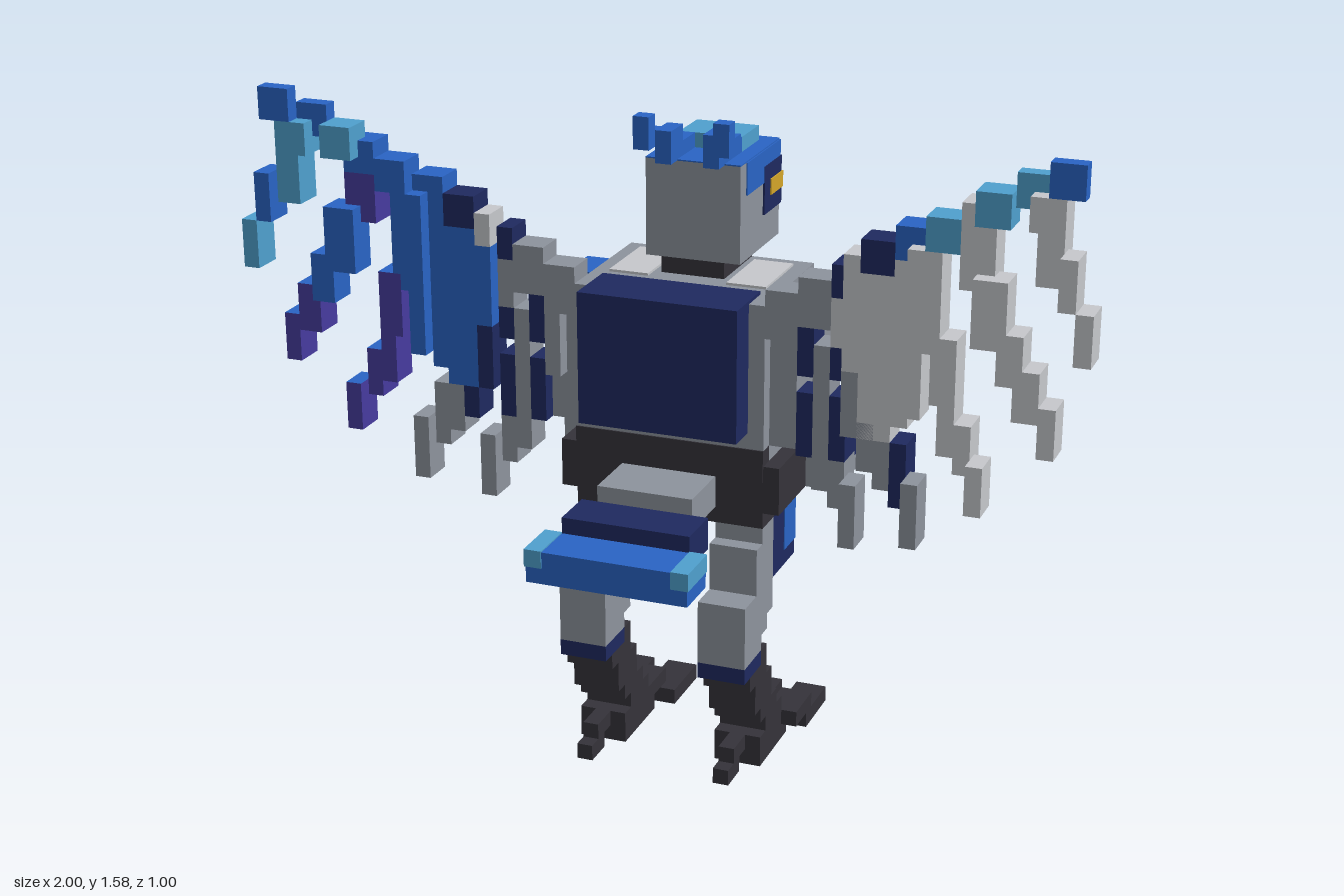
import * as THREE from 'three';

const U = 1 / 26; // one grid cell

const mat = (name, color) => {
  const m = new THREE.MeshStandardMaterial({ color });
  m.name = name;
  return m;
};

export function createModel() {
  const grey = mat('grey', 0x8e949e), pale = mat('paleGrey', 0xc8cace);
  const dark = mat('charcoal', 0x35333a), navy = mat('navy', 0x1f2a60);
  const blue = mat('blue', 0x2a65c6), sky = mat('lightBlue', 0x50a2d0);
  const purple = mat('purple', 0x473ca0), gold = mat('gold', 0xd4a62a);
  // purple on the inner, lower and rear faces, blue on the others
  const violet = [purple, blue, blue, purple, purple, blue];

  const model = new THREE.Group();
  model.name = 'mechanicalBird';
  const section = (name) => {
    const g = new THREE.Group();
    g.name = name;
    model.add(g);
    return g;
  };
  // Box from its limits in grid cells
  const box = (parent, name, m, x0, x1, y0, y1, z0, z1) => {
    const mesh = new THREE.Mesh(new THREE.BoxGeometry((x1 - x0) * U, (y1 - y0) * U, (z1 - z0) * U), m);
    mesh.position.set((x0 + x1) / 2 * U, (y0 + y1) / 2 * U, (z0 + z1) / 2 * U);
    mesh.name = name;
    parent.add(mesh);
  };
  // Same box on both sides of the body
  const pair = (parent, name, m, x0, x1, ...rest) => {
    box(parent, name + 'Left', m, x0, x1, ...rest);
    box(parent, name + 'Right', m, -x1, -x0, ...rest);
  };

  // Torso, backpack and chest screen
  const torso = section('torso');
  box(torso, 'trunk', grey, -6, 6, 20, 30, -6, 3);
  pair(torso, 'flank', grey, 6, 8, 21, 28, 0, 2);
  pair(torso, 'sideArmour', dark, 6, 8, 20, 24, -5, -1);
  pair(torso, 'shoulder', grey, 6, 8.5, 24, 29, -5, 0);
  pair(torso, 'shoulderPatch', blue, 6, 8.6, 27, 29.1, -5.1, -2);
  pair(torso, 'topPatch', pale, 2.5, 5, 30, 30.15, -5, 0);
  box(torso, 'backpack', navy, -5, 5, 22, 30.2, 1, 5);
  box(torso, 'screenFrame', navy, -5, 5, 21, 29, -7, -6);
  pair(torso, 'frameTrim', purple, 5, 5.1, 21.5, 25, -7, -6);
  box(torso, 'screen', blue, -4, 4, 22, 28, -8, -7);
  box(torso, 'screenCentre', sky, -2.5, 2.5, 23.5, 26.5, -8.08, -8);
  box(torso, 'pelvis', dark, -7, 7, 17, 20, -5, 3);
  box(torso, 'belly', dark, -6, 6, 16, 17, -5, 3);
  box(torso, 'belt', dark, -6, 6, 19, 21, 2, 3.1);

  // Head
  const head = section('head');
  box(head, 'neck', dark, -2, 2, 30, 31, -6, -1);
  box(head, 'skull', grey, -3, 3, 31, 37, -8, -1);
  pair(head, 'cheekStripe', blue, 3, 3.08, 35, 37, -8, -2);
  box(head, 'crownPlate', blue, -3, 3, 37, 37.08, -8, -1);
  box(head, 'crown', sky, -2, 2, 37, 38, -7, -4);
  pair(head, 'crownRail', blue, 1, 2, 37, 38, -4, -2);
  pair(head, 'eyeSocket', navy, 2, 3.12, 33, 36, -8.1, -5);
  pair(head, 'eye', gold, 2, 3.2, 34, 35, -8.18, -6);
  pair(head, 'crestBase', blue, 1, 2, 37, 39, -2, 0);
  pair(head, 'crestTip', blue, 2, 3, 38, 40, 0, 1);
  pair(head, 'crestBend', blue, 2, 3, 38, 39, -1, 0);
  box(head, 'beak', dark, -2, 2, 32, 35, -11, -8);
  box(head, 'beakTip', dark, -1, 1, 32, 34, -13, -11);

  // Arms
  const arms = section('arms');
  pair(arms, 'upperArm', grey, 6, 9, 17, 20, -5, -2);
  pair(arms, 'forearm', grey, 7, 9, 17, 18, -8, -5);
  pair(arms, 'forearmGuard', navy, 7, 9, 18, 20, -9, -5);
  pair(arms, 'hand', dark, 6, 9, 17, 19, -11, -8);

  // Tail
  const tail = section('tail');
  box(tail, 'tailBase', grey, -3, 3, 17, 19, 3, 7);
  box(tail, 'tailMiddle', navy, -4, 4, 16, 18, 7, 10);
  box(tail, 'tailEnd', blue, -5, 5, 15, 17, 10, 13);
  pair(tail, 'tailCorner', sky, 4, 5.08, 16, 17.08, 10, 13.08);

  // Legs: each row is y0, y1, z0, z1
  const legs = section('legs');
  pair(legs, 'thigh', navy, 3, 6, 12, 16, -3, 1);
  pair(legs, 'thighPlate', blue, 2.95, 6.05, 13, 16, -3.08, -1);
  pair(legs, 'thighLight', sky, 4, 5, 14, 15.5, -3.16, -3.08);
  [[15, 16, 1, 3], [12, 15, 1, 4], [10, 12, 1, 6], [9, 10, 2, 6], [8, 9, 3, 6]]
    .forEach((r) => pair(legs, 'upperLeg', grey, 3, 6, ...r));
  pair(legs, 'ankleBand', navy, 3, 6, 7, 8, 3, 6);
  [[7, 8, 2, 3], [6, 7, 2, 5], [5, 6, 1, 4], [4, 5, 1, 4], [3, 4, 0, 3], [2, 3, -1, 2]]
    .forEach((r) => pair(legs, 'shin', dark, 3, 6, ...r));
  pair(legs, 'foot', dark, 3, 6, 0, 2, -2, 3);
  pair(legs, 'heelSpur', dark, 4, 5, 1, 2, 3, 5);
  pair(legs, 'backToe', dark, 4, 5, 0, 1, 4, 6);
  for (const x of [2, 5]) {
    box(legs, 'toeBaseLeft', dark, x, x + 2, 1, 2, -4, -1);
    pair(legs, 'toe', dark, x, x + 2, 0, 1, -7, -3);
  }
  box(legs, 'toeBaseRight', dark, -6, -3, 1, 2, -4, -1);

  // Wings: each row is x0, x1, y0, y1, colour on the left, colour on the right
  const feathers = {
    wingArm: [
      [6, 8, 28, 31, grey, grey], [8, 10, 29, 32, grey, grey], [10, 11, 31, 33, navy, navy],
      [11, 12, 32, 34, pale, pale], [12, 14, 33, 35, navy, navy], [14, 16, 34, 36, blue, blue],
      [16, 18, 35, 37, sky, blue], [18, 20, 36, 38, pale, blue], [19, 21, 37, 39, sky, sky],
    ],
    wingTip: [[21, 23, 38, 40, sky, blue], [23, 25, 39, 41, blue, blue]],
    firstFeather: [[22, 24, 37, 39, pale, sky], [22.5, 24, 34, 37, pale, sky], [24, 25, 33, 36, pale, blue], [25, 26, 30, 33, pale, sky]],
    secondFeather: [
      [18, 20, 33, 36, pale, violet], [19, 21, 30, 34, pale, blue], [20.5, 22, 28, 31, pale, blue],
      [21.5, 23, 26, 29, pale, violet], [23, 24, 24, 27, pale, violet],
    ],
    thirdFeather: [
      [15, 17, 29, 35, pale, blue], [16.5, 18, 26, 30, pale, violet], [17, 18, 23, 26, pale, violet],
      [18, 19, 22, 25, pale, violet], [19, 20, 20, 23, pale, violet],
    ],
    broadFeather: [
      [10, 11, 28, 31, pale, grey], [11, 12, 27, 32, pale, blue], [12, 14, 23, 33, pale, blue],
      [14, 15, 24, 34, pale, blue], [15, 16, 25, 30, pale, blue],
    ],
    fourthFeather: [
      [10, 11, 26, 28, navy, navy], [11, 12, 23, 27, grey, navy], [12, 13, 21, 24, grey, navy],
      [13, 14, 20, 23, grey, grey], [14, 15, 19, 23, navy, grey], [15, 16, 17, 21, grey, grey],
    ],
    fifthFeather: [
      [8, 9, 26, 29, navy, navy], [9, 10, 23, 28, grey, grey], [10, 11, 21, 25, navy, navy],
      [10, 11, 18, 21, grey, grey], [11, 12, 16, 20, grey, grey],
    ],
    innerFeather: [[7, 8, 24, 28, grey, grey], [8, 9, 21, 25, navy, navy], [9, 10, 19, 23, grey, grey]],
  };
  for (const side of [1, -1]) {
    const wing = section(side > 0 ? 'leftWing' : 'rightWing');
    for (const [name, rows] of Object.entries(feathers)) {
      const depth = name === 'wingTip' ? 1 : 2;
      for (const [x0, x1, y0, y1, left, right] of rows) {
        // the wing sweeps back toward its tip
        const z = Math.floor(1 + ((x0 + x1) / 2 - 7) * 0.24);
        const xs = side > 0 ? [x0, x1] : [-x1, -x0];
        box(wing, name, side > 0 ? left : right, ...xs, y0, y1, z, z + depth);
      }
    }
  }
  return model;
}
